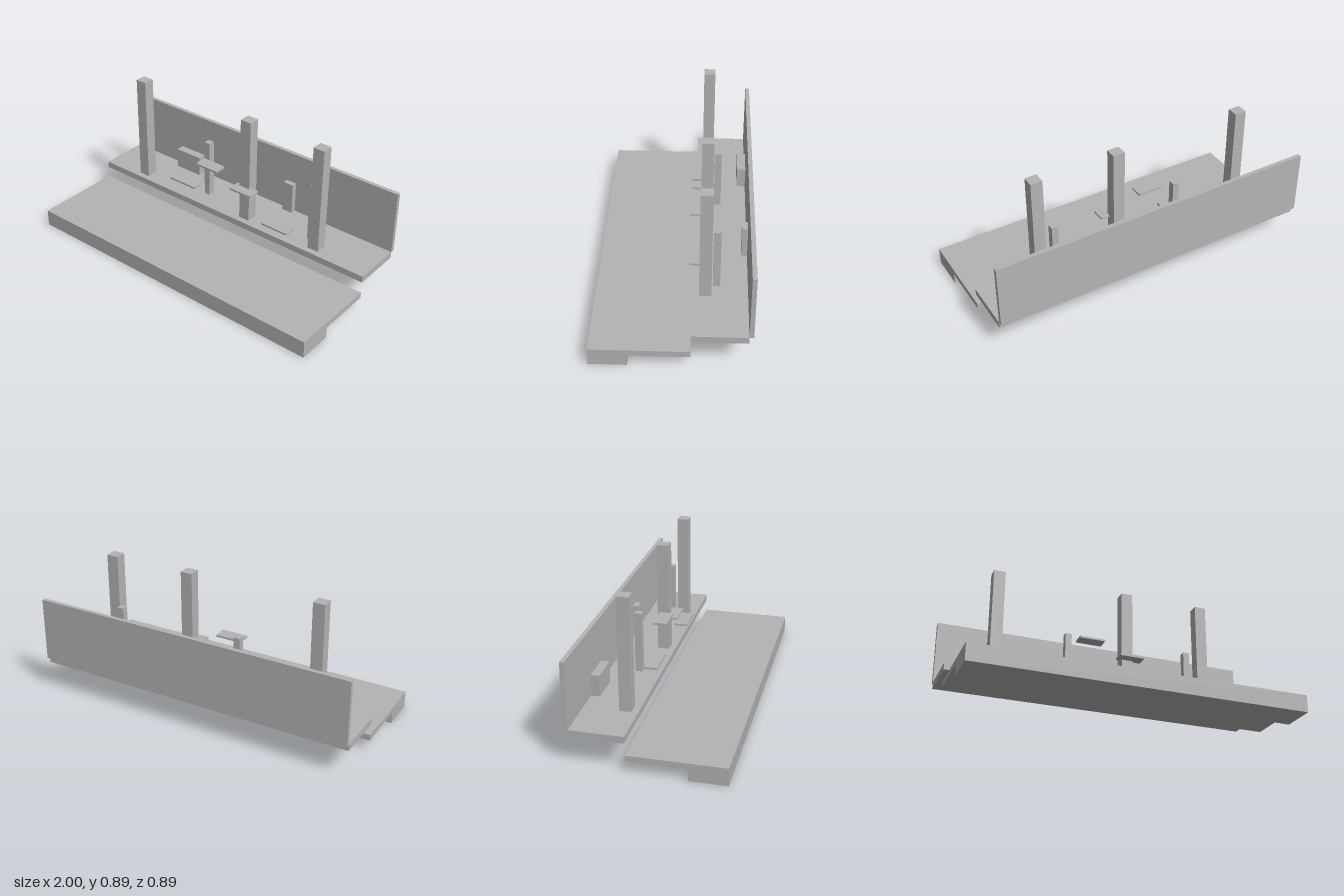
import * as THREE from 'three';

export function createModel() {
  const model = new THREE.Group();
  const grey = new THREE.MeshStandardMaterial({ color: 0xb4b4b4 });
  grey.name = 'plain grey';

  // Box given by its lower and upper limits on each axis
  function block(name, [x0, x1], [y0, y1], [z0, z1]) {
    const mesh = new THREE.Mesh(new THREE.BoxGeometry(x1 - x0, y1 - y0, z1 - z0), grey);
    mesh.position.set((x0 + x1) / 2, (y0 + y1) / 2, (z0 + z1) / 2);
    mesh.name = name;
    model.add(mesh);
  }

  const full = [-1, 1];
  const floor = 0.217;

  // Lower ground: thick front kerb and thinner slab behind it
  block('frontKerb', full, [0, 0.105], [0.23, 0.445]);
  block('lowerSlab', full, [0.069, 0.105], [-0.111, 0.23]);

  // Raised deck with the back wall along its rear edge
  block('upperDeck', full, [0.177, floor], [-0.42, -0.111]);
  block('backWall', full, [floor, 0.61], [-0.445, -0.42]);

  // Tall square columns
  for (const x of [-0.7, 0.125, 0.634]) {
    block('column', [x - 0.036, x + 0.036], [floor, 0.887], [-0.217, -0.148]);
  }

  // Slim posts
  for (const x of [-0.23, 0.561]) {
    block('slimPost', [x - 0.02, x + 0.02], [floor, 0.585], [-0.265, -0.224]);
  }

  // Boxes standing against the wall
  block('wideBox', [-0.604, -0.417], [floor, 0.345], [-0.42, -0.368]);
  block('narrowBox', [0.242, 0.311], [floor, 0.414], [-0.42, -0.386]);

  // Floating platforms: left x, right x, underside height
  const platforms = [
    [-0.417, -0.218, 0.322],
    [-0.202, -0.042, 0.503],
    [0.059, 0.214, 0.43],
    [0.301, 0.484, 0.282],
  ];
  for (const [x0, x1, y] of platforms) {
    block('floatingPlatform', [x0, x1], [y, y + 0.012], [-0.166, -0.087]);
  }

  return model;
}
